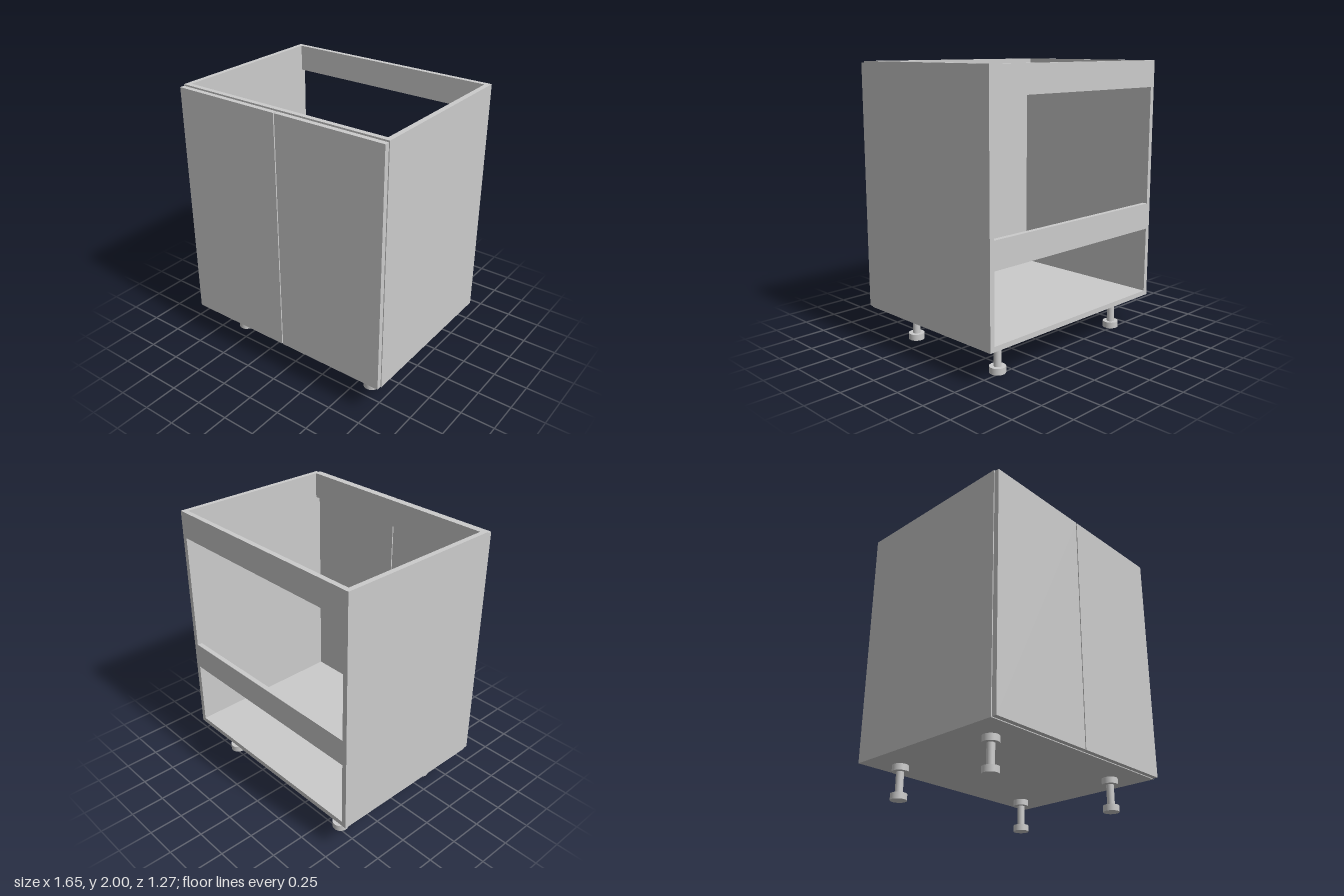
import * as THREE from 'three';

const W = 0.823, BACK = -0.637, FRONT = 0.598, BOTTOM = 0.24, TOP = 2, T = 0.036;

export function createModel() {
  const model = new THREE.Group();
  model.name = 'baseCabinet';
  const mat = new THREE.MeshStandardMaterial({ color: 0xcccccc });

  // box from its two opposite corners
  const panel = (name, x0, x1, y0, y1, z0, z1) => {
    const mesh = new THREE.Mesh(new THREE.BoxGeometry(x1 - x0, y1 - y0, z1 - z0), mat);
    mesh.position.set((x0 + x1) / 2, (y0 + y1) / 2, (z0 + z1) / 2);
    mesh.name = name;
    model.add(mesh);
  };
  const inner = W - T;

  // carcass: sides and floor
  panel('leftSide', inner, W, BOTTOM, TOP, BACK, FRONT);
  panel('rightSide', -W, -inner, BOTTOM, TOP, BACK, FRONT);
  panel('floor', -inner, inner, BOTTOM, BOTTOM + T, BACK, FRONT);

  // cross rails
  panel('frontRail', -inner, inner, 1.81, TOP, FRONT - T, FRONT);
  panel('backTopRail', -inner, inner, 1.81, TOP, BACK, BACK + T);
  panel('backMiddleRail', -inner, inner, 0.76, 0.953, BACK, BACK + T);

  // pair of doors with a narrow gap between them
  const doorBack = FRONT + 0.003;
  panel('leftDoor', 0.004, W - 0.004, BOTTOM + 0.004, 1.99, doorBack, doorBack + T);
  panel('rightDoor', -W + 0.004, -0.004, BOTTOM + 0.004, 1.99, doorBack, doorBack + T);

  // adjustable legs: foot, stem and mounting disc in one turned profile
  const R = 0.057, r = 0.027, disc = 0.045;
  const parts = [
    ['foot', R, 0, disc],
    ['stem', r, disc, BOTTOM - disc],
    ['mountingDisc', R, BOTTOM - disc, BOTTOM],
  ];
  for (const x of [-0.6, 0.6]) {
    for (const z of [-0.47, 0.38]) {
      const leg = new THREE.Group();
      leg.name = `${z > 0 ? 'front' : 'back'}${x > 0 ? 'Left' : 'Right'}Leg`;
      leg.position.set(x, 0, z);
      for (const [name, radius, y0, y1] of parts) {
        const mesh = new THREE.Mesh(new THREE.CylinderGeometry(radius, radius, y1 - y0, 32), mat);
        mesh.position.y = (y0 + y1) / 2;
        mesh.name = name;
        leg.add(mesh);
      }
      model.add(leg);
    }
  }
  return model;
}
